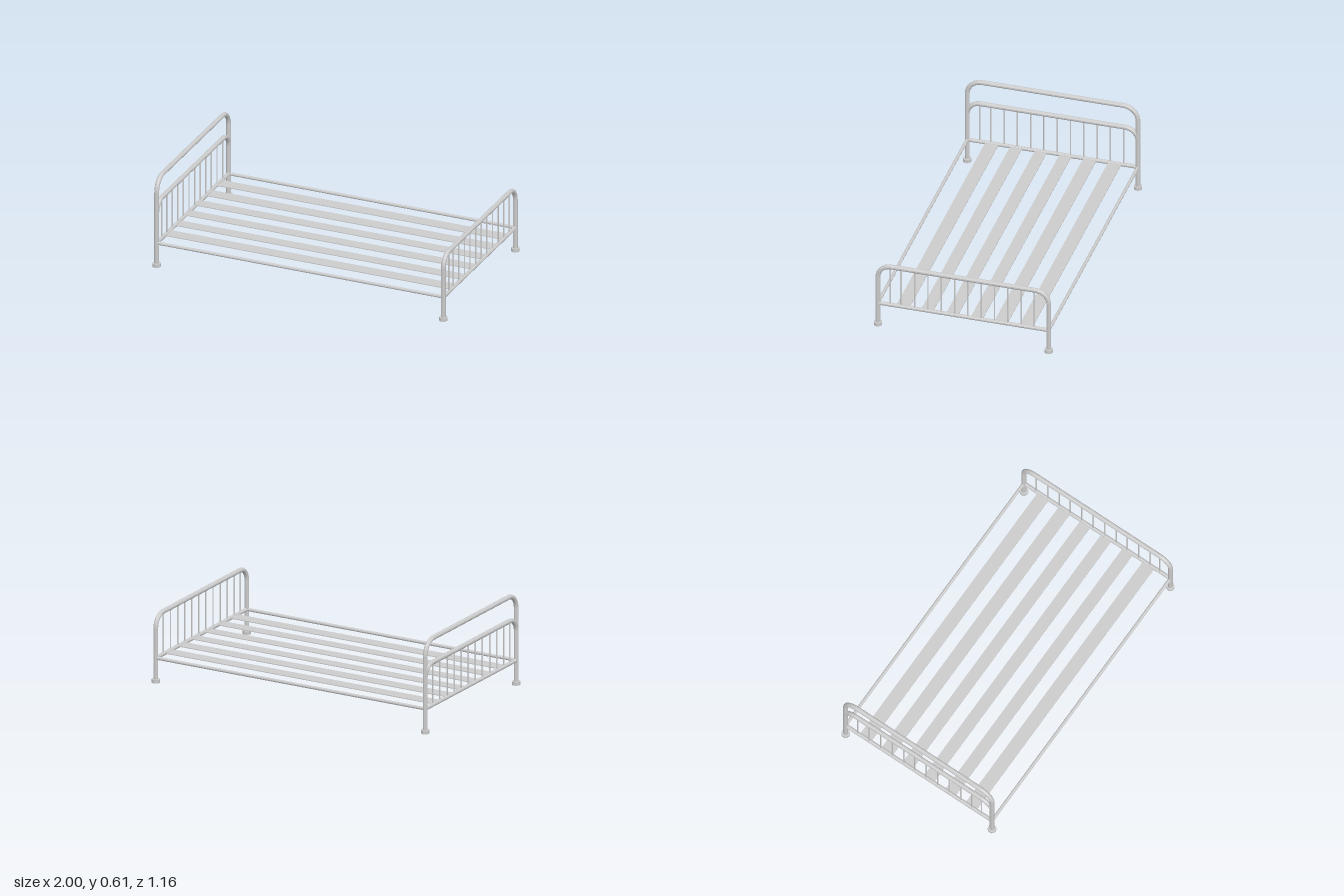
import * as THREE from 'three';

const material = new THREE.MeshStandardMaterial({ color: 0xcccccc, flatShading: true });
const END_X = 0.973, POST_Z = 0.553, RAIL_Y = 0.16;

function addMesh(parent, name, geometry, x = 0, y = 0, z = 0) {
  const mesh = new THREE.Mesh(geometry, material);
  mesh.name = name;
  mesh.position.set(x, y, z);
  parent.add(mesh);
  return mesh;
}

// Bent tube: up one side, round two corners, down the other
function archGeometry(bottom, top, corner) {
  const p = (y, z) => new THREE.Vector3(0, y, z);
  const k = corner * 0.4477, low = top - corner, inner = POST_Z - corner;
  const path = new THREE.CurvePath();
  path.add(new THREE.LineCurve3(p(bottom, POST_Z), p(low, POST_Z)));
  path.add(new THREE.CubicBezierCurve3(p(low, POST_Z), p(top - k, POST_Z), p(top, POST_Z - k), p(top, inner)));
  path.add(new THREE.LineCurve3(p(top, inner), p(top, -inner)));
  path.add(new THREE.CubicBezierCurve3(p(top, -inner), p(top, k - POST_Z), p(top - k, -POST_Z), p(low, -POST_Z)));
  path.add(new THREE.LineCurve3(p(low, -POST_Z), p(bottom, -POST_Z)));
  return new THREE.TubeGeometry(path, 120, 0.0152, 10, false);
}

// Lower arch, bottom rail, spindles and feet shared by both ends
function endPanel(name, x, archBottom) {
  const panel = new THREE.Group();
  panel.name = name;
  panel.position.x = x;
  addMesh(panel, 'lowerArch', archGeometry(archBottom, 0.439, 0.085));

  const rail = new THREE.CylinderGeometry(0.0125, 0.0125, POST_Z * 2, 10).rotateX(Math.PI / 2);
  addMesh(panel, 'crossRail', rail, 0, RAIL_Y, 0);

  for (let i = 0; i < 12; i++) {
    const z = i < 11 ? -0.46 + i * 0.0861 : 0.473;
    const top = Math.abs(z) > 0.45 ? 0.436 : 0.439;
    addMesh(panel, 'spindle', new THREE.CylinderGeometry(0.0046, 0.0046, top - RAIL_Y, 8),
      0, (top + RAIL_Y) / 2, z);
  }
  for (const side of [-1, 1]) {
    addMesh(panel, 'foot', new THREE.CylinderGeometry(0.027, 0.027, 0.023, 10), 0, 0.0115, side * POST_Z);
  }
  return panel;
}

export function createModel() {
  const bed = new THREE.Group();
  bed.name = 'bedFrame';

  const headboard = endPanel('headboard', -END_X, 0.34);
  addMesh(headboard, 'upperArch', archGeometry(0.01, 0.598, 0.095));
  bed.add(headboard, endPanel('footboard', END_X, 0.01));

  // Long side rails
  for (const side of [-1, 1]) {
    const rail = new THREE.CylinderGeometry(0.0105, 0.0105, END_X * 2, 10).rotateZ(Math.PI / 2);
    addMesh(bed, 'sideRail', rail, 0, RAIL_Y, side * POST_Z);
  }

  // Lengthwise slats: [centre z, width]
  const slats = [[-0.404, 0.085], [-0.243, 0.085], [-0.085, 0.077], [0.074, 0.077], [0.235, 0.077], [0.392, 0.085]];
  for (const [z, width] of slats) {
    addMesh(bed, 'slat', new THREE.BoxGeometry(END_X * 2, 0.005, width), 0, RAIL_Y, z);
  }
  return bed;
}
